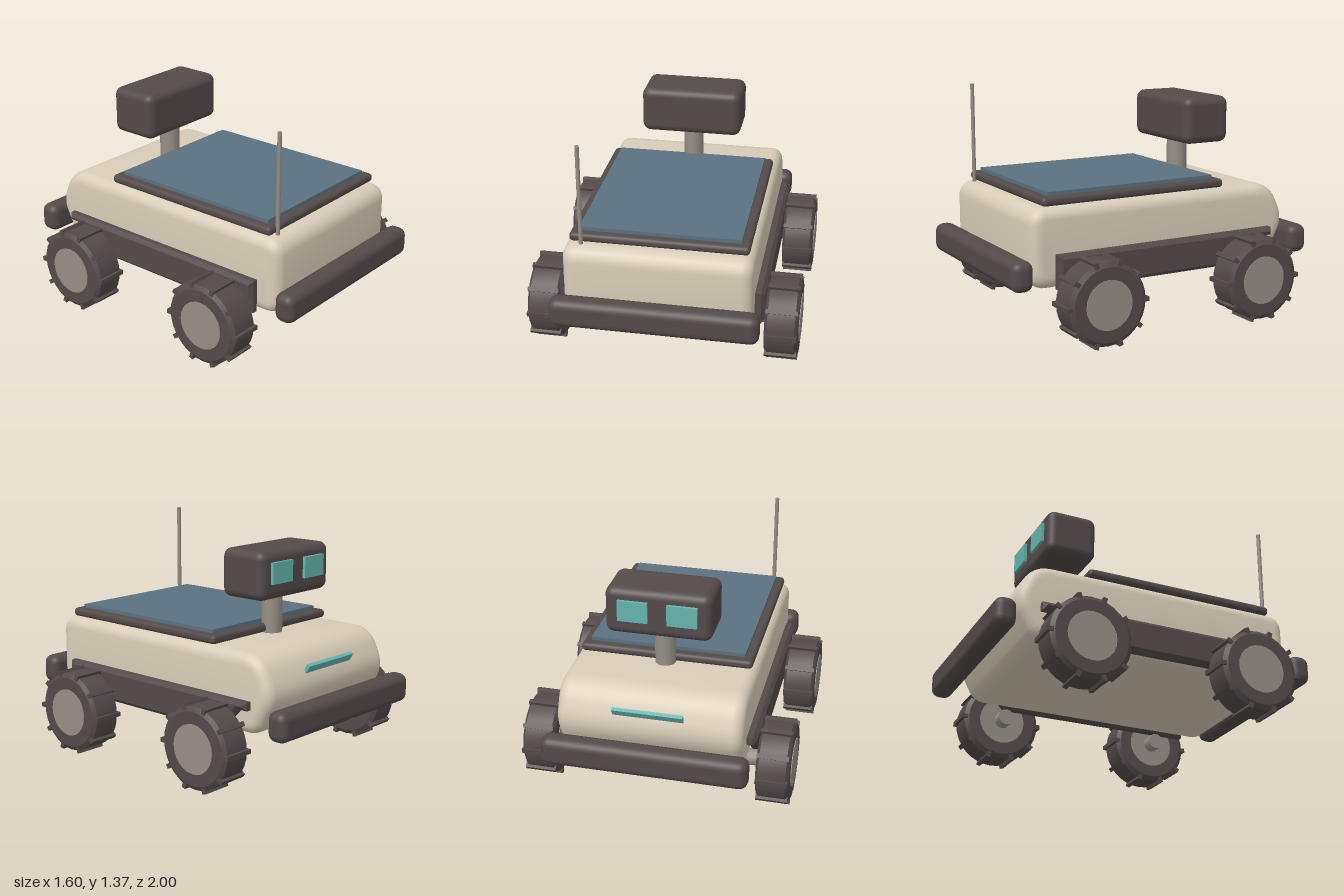
import * as THREE from 'three';
import { toCreasedNormals } from 'three/addons/utils/BufferGeometryUtils.js';
import { RoundedBoxGeometry } from 'three/addons/geometries/RoundedBoxGeometry.js';

const material = (name, color) => {
  const m = new THREE.MeshStandardMaterial({ color });
  m.name = name;
  return m;
};

// Closed outline with rounded corners; each point is [forward, up, radius].
function roundedShape(points) {
  const shape = new THREE.Shape();
  points.forEach(([x, y, r], i) => {
    const p = new THREE.Vector2(x, y);
    const toward = (q) => {
      const v = new THREE.Vector2(q[0], q[1]).sub(p);
      return v.setLength(Math.min(r, v.length() * 0.49)).add(p);
    };
    const a = toward(points[(i + points.length - 1) % points.length]);
    const b = toward(points[(i + 1) % points.length]);
    if (i === 0) shape.moveTo(a.x, a.y);
    else shape.lineTo(a.x, a.y);
    if (r > 0) shape.quadraticCurveTo(x, y, b.x, b.y);
  });
  shape.closePath();
  return shape;
}

// Side profile extruded across the model, with bevelled edges; forward is -z.
function sideExtrude(points, width, bevel, bevelSegments) {
  const depth = width - bevel * 2;
  const g = new THREE.ExtrudeGeometry(roundedShape(points), {
    depth, bevelEnabled: true, bevelSize: bevel, bevelThickness: bevel, bevelSegments, curveSegments: 6,
  });
  g.translate(0, 0, -depth / 2).rotateY(Math.PI / 2);
  return g;
}

export function createModel() {
  const cream = material('cream shell', 0xd8cdb8);
  const dark = material('dark rubber', 0x544a4a);
  const grey = material('grey metal', 0x968e86);
  const blue = material('solar blue', 0x5a7280);
  const teal = material('teal glass', 0x66b5ad);

  const model = new THREE.Group();
  model.name = 'rover';
  const add = (name, geometry, mat, x = 0, y = 0, z = 0, parent = model) => {
    const mesh = new THREE.Mesh(geometry, mat);
    mesh.name = name;
    mesh.position.set(x, y, z);
    parent.add(mesh);
    return mesh;
  };

  // Shell with a wedge nose
  const shell = sideExtrude([
    [-0.798, 0.375, 0.03], [0.71, 0.375, 0.03], [0.8, 0.545, 0.06],
    [0.725, 0.705, 0.07], [-0.798, 0.705, 0.03],
  ], 1.09, 0.065, 5);
  add('bodyShell', toCreasedNormals(shell, 0.6), cream);

  // Side rails, notched at the nose end
  const rail = sideExtrude([
    [-0.705, 0.335, 0], [0.52, 0.335, 0], [0.66, 0.485, 0], [0.705, 0.485, 0], [0.705, 0.49, 0], [-0.705, 0.49, 0],
  ], 0.075, 0.022, 1);
  for (const s of [1, -1]) add(s > 0 ? 'leftRail' : 'rightRail', rail, dark, s * 0.566);

  // Bumpers
  const bumper = new RoundedBoxGeometry(1.2, 0.175, 0.128, 3, 0.05);
  for (const s of [1, -1]) add(s > 0 ? 'tailBumper' : 'noseBumper', bumper, dark, 0, 0.412, s * 0.936);

  // Solar deck
  add('panelFrame', new RoundedBoxGeometry(1.03, 0.052, 1.2, 2, 0.022), dark, 0, 0.8, 0.18);
  add('solarPanel', new THREE.BoxGeometry(0.93, 0.035, 1.095), blue, 0, 0.83, 0.182);

  // Mast, sensor head and eyes
  add('mast', new THREE.CylinderGeometry(0.063, 0.063, 0.29, 12), grey, 0, 0.895, -0.414);
  add('sensorHead', new RoundedBoxGeometry(0.62, 0.285, 0.312, 4, 0.05), dark, 0, 1.152, -0.441);
  for (const s of [1, -1]) {
    add(s > 0 ? 'leftEye' : 'rightEye', new THREE.BoxGeometry(0.175, 0.125, 0.03), teal, s * 0.143, 1.167, -0.6);
  }

  // Light bar on the nose
  const bar = add('lightBar', new THREE.BoxGeometry(0.41, 0.05, 0.022), teal, 0, 0.653, -0.842);
  bar.rotation.x = -0.55;

  // Antenna
  add('antenna', new THREE.CylinderGeometry(0.0125, 0.0125, 0.61, 8), grey, -0.443, 1.066, 0.782);

  // Wheels: chamfered tyre, hub discs, tread lugs and stub axle
  const tyreProfile = [[0, -0.097], [0.215, -0.097], [0.24, -0.08], [0.24, 0.08], [0.215, 0.097], [0, 0.097]]
    .map(([r, y]) => new THREE.Vector2(r, y));
  const tyre = toCreasedNormals(new THREE.LatheGeometry(tyreProfile, 32).toNonIndexed(), 0.5).rotateZ(Math.PI / 2);
  const hub = new THREE.CylinderGeometry(0.144, 0.144, 0.204, 24).rotateZ(Math.PI / 2);
  const axle = new THREE.CylinderGeometry(0.05, 0.05, 0.1, 12).rotateZ(Math.PI / 2);
  const lug = new THREE.BoxGeometry(0.186, 0.04, 0.026);
  for (const sx of [1, -1]) {
    for (const sz of [1, -1]) {
      const wheel = new THREE.Group();
      wheel.name = (sx > 0 ? 'left' : 'right') + (sz > 0 ? 'Tail' : 'Nose') + 'Wheel';
      wheel.position.set(sx * 0.7, 0.253, sz * 0.522);
      model.add(wheel);
      add('tyre', tyre, dark, 0, 0, 0, wheel);
      add('hub', hub, grey, 0, 0, 0, wheel);
      add('axle', axle, grey, -sx * 0.13, 0, 0, wheel);
      for (let i = 0; i < 10; i++) {
        const a = (i + 0.5) * Math.PI / 5;
        const tread = add('treadLug', lug, dark, 0, Math.cos(a) * 0.237, Math.sin(a) * 0.237, wheel);
        tread.rotation.x = a;
      }
    }
  }
  return model;
}
